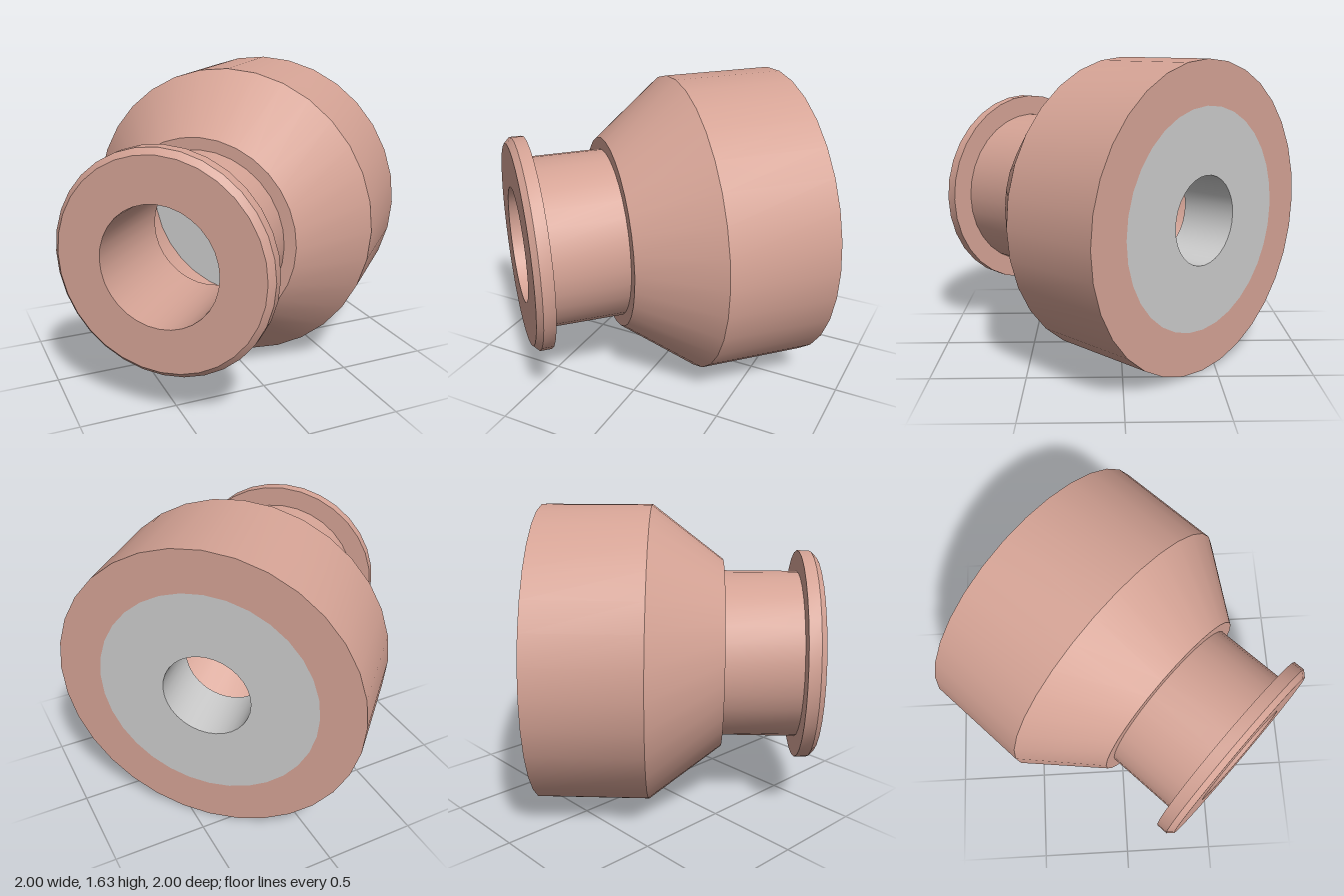
import * as THREE from 'three';
import { toCreasedNormals } from 'three/addons/utils/BufferGeometryUtils.js';

const SEGMENTS = 32;
const copper = new THREE.MeshStandardMaterial({ color: 0xd5a395 });
const grey = new THREE.MeshStandardMaterial({ color: 0xcccccc });

// Revolve a closed [radius, axial] profile: outside forward, inside back
function turned(name, profile, material) {
  const points = [...profile, profile[0]].map(([r, t]) => new THREE.Vector2(r, t));
  const geometry = toCreasedNormals(new THREE.LatheGeometry(points, SEGMENTS), 0.4);
  geometry.rotateX(Math.PI / 2); // axis along +z
  const mesh = new THREE.Mesh(geometry, material);
  mesh.name = name;
  return mesh;
}

export function createModel() {
  const model = new THREE.Group();
  model.name = 'flangedFitting';

  // Body, neck and chamfered flange in one turned piece with a stepped bore
  model.add(turned('fittingBody', [
    [0.815, -0.6], [0.815, -0.01], [0.52, 0.377],     // barrel and taper
    [0.457, 0.377], [0.457, 0.78],                    // neck
    [0.57, 0.78], [0.57, 0.843], [0.54, 0.873],       // flange
    [0.31, 0.873], [0.31, 0.28],                      // front bore
    [0.43, 0.28], [0.585, 0], [0.585, -0.6],          // rear pocket
  ], copper));

  // Ring seated flush in the rear pocket
  model.add(turned('rearInsert', [
    [0.585, -0.6], [0.585, -0.275], [0.235, -0.275], [0.235, -0.6],
  ], grey));

  // Flange points to the front right
  model.rotation.y = -Math.PI / 4;
  model.position.y = 0.816;
  return model;
}
